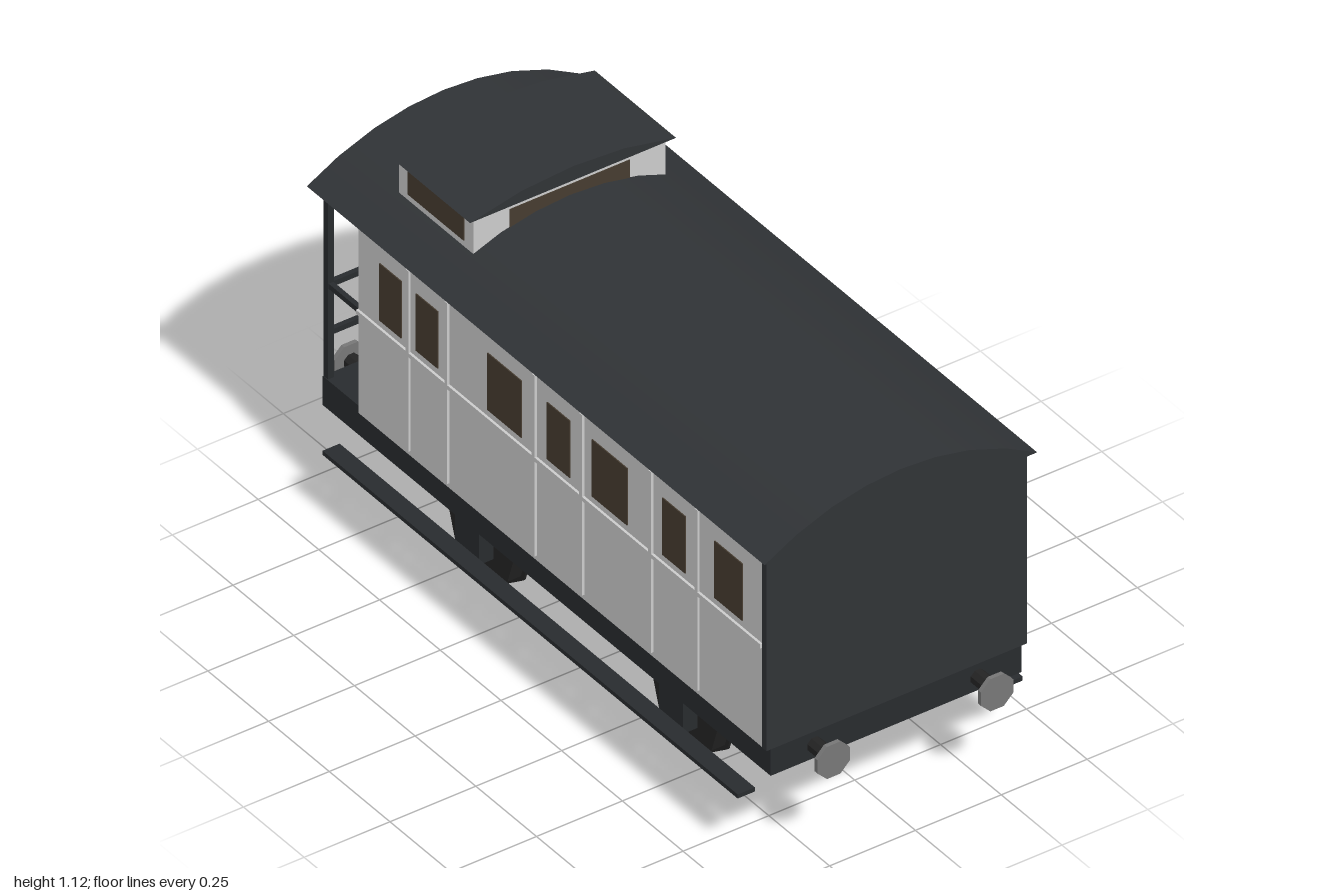
import * as THREE from 'three';
import { toCreasedNormals } from 'three/addons/utils/BufferGeometryUtils.js';

const mat = (color, flatShading = false) => new THREE.MeshStandardMaterial({ color, flatShading });
const grey = mat(0xcccccc);
const dark = mat(0x303336);
const frameDark = mat(0x282b2e);
const glass = mat(0x463c30);
const iron = mat(0x242424, true);
const steel = mat(0x777777, true);

export function createModel() {
  const model = new THREE.Group();

  const add = (name, geometry, material, parent = model) => {
    const mesh = new THREE.Mesh(geometry, material);
    mesh.name = name;
    parent.add(mesh);
    return mesh;
  };
  // Box given by its limits on each axis
  const box = (name, [x0, x1], [y0, y1], [z0, z1], material, parent) => {
    const mesh = add(name, new THREE.BoxGeometry(x1 - x0, y1 - y0, z1 - z0), material, parent);
    mesh.position.set((x0 + x1) / 2, (y0 + y1) / 2, (z0 + z1) / 2);
    return mesh;
  };
  // Span on the outer side of a mirrored pair
  const span = (s, a, b) => (s > 0 ? [a, b] : [-b, -a]);

  // Arched roof: half profile of [z, y] from eave to ridge, extruded along x
  const roof = (name, half, x0, x1) => {
    const pts = [...half, ...half.slice(0, -1).reverse().map(([z, y]) => [-z, y])];
    const shape = new THREE.Shape(pts.map(([z, y]) => new THREE.Vector2(z, y)));
    const geo = new THREE.ExtrudeGeometry(shape, { depth: x1 - x0, bevelEnabled: false });
    geo.rotateY(Math.PI / 2).translate(x0, 0, 0);
    add(name, toCreasedNormals(geo, 0.5), dark);
  };

  // Body and underframe
  box('underframe', [-0.925, 0.92], [0.265, 0.35], [-0.365, 0.365], frameDark);
  box('cabin', [-0.76, 0.905], [0.345, 0.912], [-0.378, 0.378], grey);
  box('endWall', [0.905, 0.923], [0.345, 0.912], [-0.379, 0.379], dark);
  roof('mainRoof', [[0.397, 0.908], [0.305, 0.958], [0.2, 0.997], [0.1, 1.018], [0, 1.025]], -0.945, 0.94);

  // Roof lantern with its windows
  box('lantern', [-0.73, -0.425], [0.93, 1.078], [-0.28, 0.28], grey);
  roof('lanternRoof', [[0.3, 1.075], [0.15, 1.107], [0, 1.117]], -0.745, -0.41);
  box('lanternSideWindows', [-0.693, -0.462], [0.985, 1.055], [-0.282, 0.282], glass);
  box('lanternEndWindows', [-0.732, -0.423], [0.98, 1.055], [-0.175, 0.175], glass);

  // Side windows and raised beading, the same on both sides
  const windows = [[-0.67, -0.58], [-0.52, -0.43], [-0.225, -0.085], [0.02, 0.115],
    [0.205, 0.35], [0.495, 0.59], [0.71, 0.825]];
  const beads = [-0.55, -0.39, -0.03, 0.165, 0.45, 0.64];
  for (const s of [1, -1]) {
    const side = new THREE.Group();
    side.name = s > 0 ? 'frontSide' : 'backSide';
    model.add(side);
    for (const w of windows) box('sideWindow', w, [0.67, 0.837], span(s, 0.37, 0.381), glass, side);
    for (const x of beads) box('verticalBead', [x - 0.006, x + 0.006], [0.36, 0.89], span(s, 0.37, 0.385), grey, side);
    box('waistBead', [-0.76, 0.905], [0.638, 0.65], span(s, 0.37, 0.385), grey, side);
    box('footboard', [-0.855, 0.855], [0.181, 0.193], span(s, 0.365, 0.415), frameDark, side);
  }
  box('platformDoorWindow', [-0.763, -0.75], [0.67, 0.837], [-0.085, 0.085], glass);

  // Platform posts and rails
  for (const s of [1, -1]) {
    box('platformPost', [-0.924, -0.906], [0.345, 0.912], span(s, 0.345, 0.363), frameDark);
    box('sideRail', [-0.91, -0.755], [0.615, 0.63], span(s, 0.347, 0.361), frameDark);
  }
  for (const y of [0.475, 0.615]) box('endRail', [-0.922, -0.908], [y, y + 0.015], [-0.355, 0.355], frameDark);

  // Buffers at the four corners
  const shaftGeo = new THREE.CylinderGeometry(0.022, 0.022, 0.075, 8).rotateY(Math.PI / 8).rotateZ(Math.PI / 2);
  const headGeo = new THREE.CylinderGeometry(0.051, 0.051, 0.012, 8).rotateY(Math.PI / 8).rotateZ(Math.PI / 2);
  for (const sx of [1, -1]) for (const sz of [1, -1]) {
    const buffer = new THREE.Group();
    buffer.name = 'buffer';
    buffer.position.set(0, 0.305, sz * 0.238);
    add('bufferShaft', shaftGeo, iron, buffer).position.x = sx * 0.952;
    add('bufferHead', headGeo, steel, buffer).position.x = sx * 0.994;
    model.add(buffer);
  }

  // Ten-sided wheels with inner flange, axle box and spring
  const disc = (r, d) => new THREE.CylinderGeometry(r, r, d, 10).rotateY(Math.PI / 10).rotateX(Math.PI / 2);
  const treadGeo = disc(0.134, 0.043);
  const flangeGeo = disc(0.146, 0.007);
  for (const x of [-0.425, 0.415]) for (const s of [1, -1]) {
    const wheel = new THREE.Group();
    wheel.name = 'wheelSet';
    add('wheelTread', treadGeo, iron, wheel).position.set(x, 0.139, s * 0.2355);
    add('wheelFlange', flangeGeo, iron, wheel).position.set(x, 0.139, s * 0.2145);
    box('axleBox', [x - 0.05, x + 0.05], [0.092, 0.19], span(s, 0.257, 0.298), frameDark, wheel);
    box('spring', [x - 0.173, x + 0.173], [0.187, 0.224], span(s, 0.26, 0.3), frameDark, wheel);
    model.add(wheel);
  }

  return model;
}
